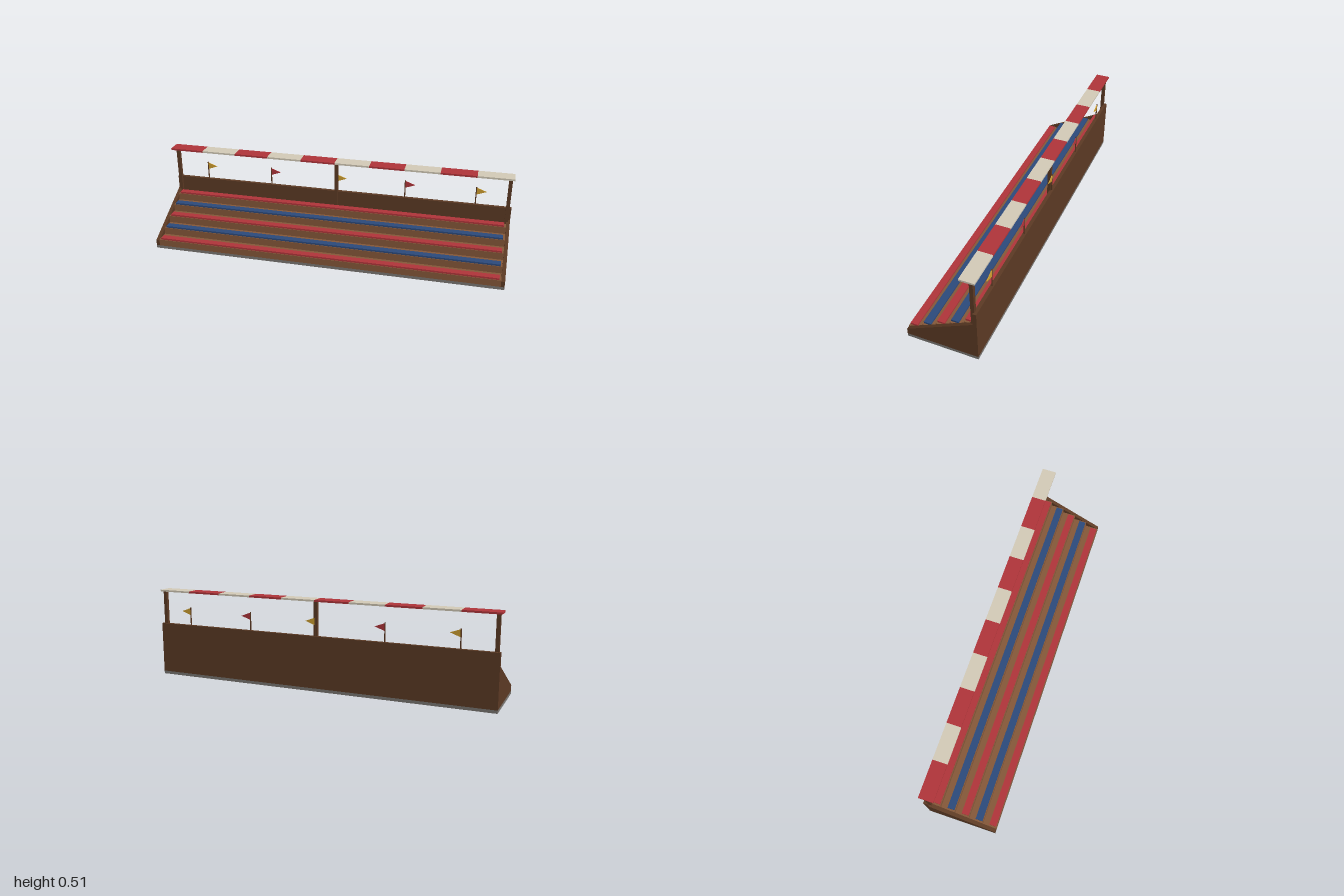
import * as THREE from 'three';

const paint = (name, color) => {
  const m = new THREE.MeshStandardMaterial({ color });
  m.name = name;
  return m;
};

export function createModel() {
  const group = new THREE.Group();
  const darkWood = paint('dark wood', 0x5c3a24);
  const wood = paint('wood', 0x855839);
  const red = paint('red', 0xb0353a);
  const blue = paint('blue', 0x2c4a7c);
  const cream = paint('cream', 0xd4cbb8);
  const stone = paint('stone', 0x7a7672);
  const gold = paint('gold', 0xd0a030);

  const add = (name, geometry, material) => {
    const mesh = new THREE.Mesh(geometry, material);
    mesh.name = name;
    group.add(mesh);
    return mesh;
  };
  // Box given by its lower and upper bounds
  const box = (name, material, x0, x1, y0, y1, z0, z1) => {
    const mesh = add(name, new THREE.BoxGeometry(x1 - x0, y1 - y0, z1 - z0), material);
    mesh.position.set((x0 + x1) / 2, (y0 + y1) / 2, (z0 + z1) / 2);
    return mesh;
  };

  const front = 0.193, back = -0.193, wallFront = -0.173, floor = 0.017;

  box('base', stone, -1, 1, 0, floor, back, front);
  box('backWall', darkWood, -1, 1, floor, 0.31, back, wallFront);

  // Five solid tiers, each with a painted bench along its front edge
  for (let i = 0; i < 5; i++) {
    const z = front - i * 0.0773, y = 0.055 + i * 0.0405;
    box('tier', wood, -0.98, 0.98, i ? y - 0.0405 : floor, y, wallFront, z);
    box('bench', i % 2 ? blue : red, -0.97, 0.97, y, y + 0.01, z - 0.043, z - 0.004);
  }

  // Sloping side panels
  const panel = new THREE.Shape([
    [-front, floor], [-wallFront, floor], [-wallFront, 0.237], [-front, 0.05],
  ].map(([x, y]) => new THREE.Vector2(x, y)));
  for (const x of [-0.98, 1]) {
    const side = add('sidePanel',
      new THREE.ExtrudeGeometry(panel, { depth: 0.02, bevelEnabled: false }), darkWood);
    side.rotation.y = Math.PI / 2;
    side.position.x = x - 0.02;
  }

  // Posts and striped canopy
  for (const x of [-0.98, 0, 0.98]) {
    box('canopyPost', darkWood, x - 0.01, x + 0.01, 0.21, 0.5, -0.179, -0.16);
  }
  for (let i = 0; i < 10; i++) {
    box('canopyStripe', i % 2 ? cream : red, -1 + i * 0.2, -0.8 + i * 0.2, 0.5, 0.51, back, -0.113);
  }

  // Pennants along the top of the back wall
  const pennant = new THREE.Shape([
    new THREE.Vector2(0, 0.37), new THREE.Vector2(0.057, 0.391), new THREE.Vector2(0, 0.412),
  ]);
  for (let i = 0; i < 5; i++) {
    const x = -0.8 + i * 0.4;
    const pole = add('flagPole', new THREE.CylinderGeometry(0.0035, 0.0035, 0.105, 6), darkWood);
    pole.position.set(x, 0.3625, -0.183);
    const flag = add('pennant',
      new THREE.ExtrudeGeometry(pennant, { depth: 0.004, bevelEnabled: false }), i % 2 ? red : gold);
    flag.position.set(x, 0, -0.185);
  }
  return group;
}
